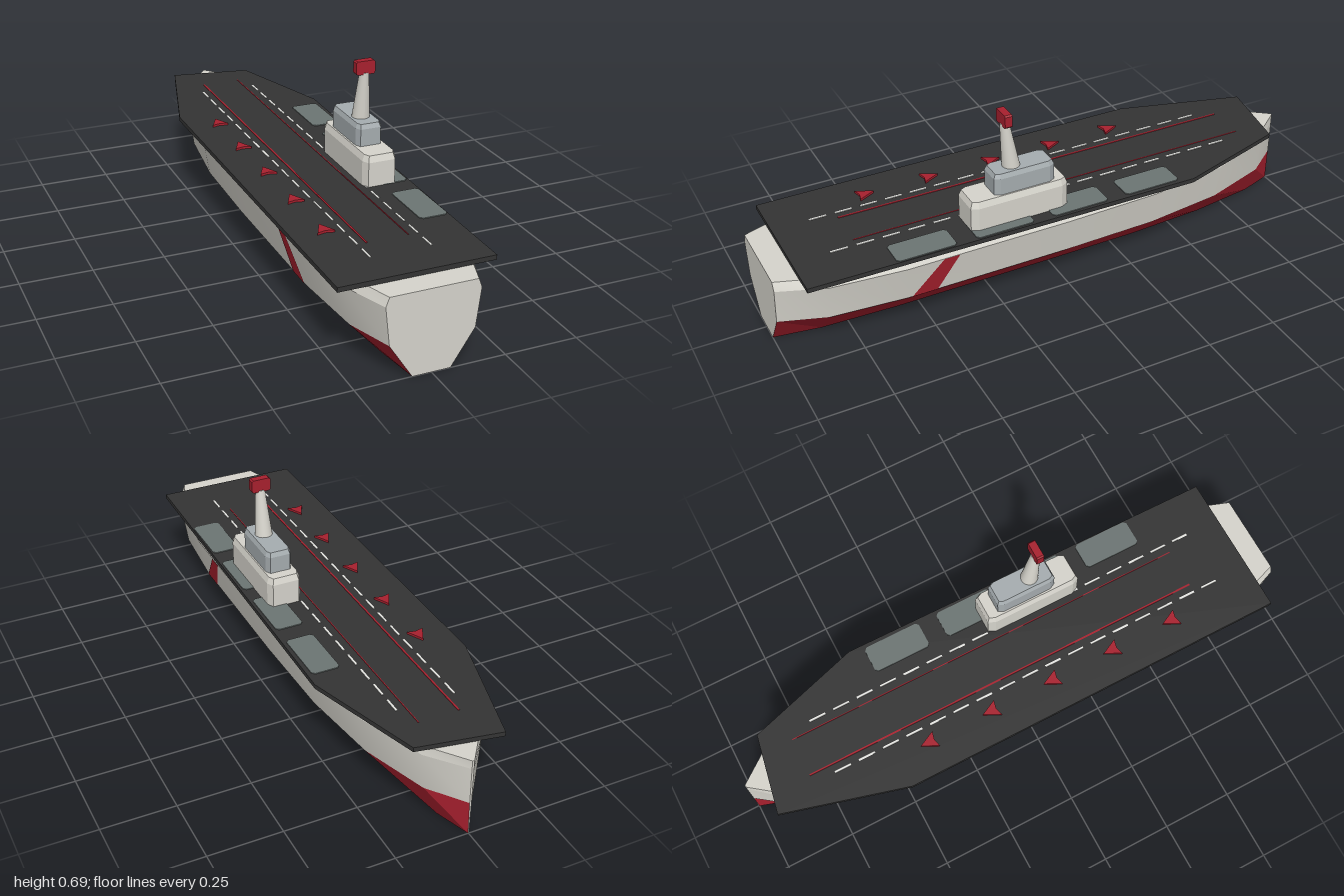
import * as THREE from 'three';

const material = (name, color, side = THREE.FrontSide) => {
  const m = new THREE.MeshStandardMaterial({ color, side });
  m.name = name;
  return m;
};

export function createModel() {
  const ship = new THREE.Group();
  ship.name = 'carrierShip';
  const hullGrey = material('hullGrey', 0xd6d4cc);
  const red = material('red', 0xa8202e);
  const deckDark = material('deckDark', 0x343434);
  const bridgeGrey = material('bridgeGrey', 0xa6adb0);
  const liftGrey = material('liftGrey', 0x6c7573);
  const white = material('white', 0xeeeeea);

  const add = (name, geometry, mat, parent = ship) => {
    const mesh = new THREE.Mesh(geometry, mat);
    mesh.name = name;
    parent.add(mesh);
    return mesh;
  };
  const group = (name) => {
    const g = new THREE.Group();
    g.name = name;
    ship.add(g);
    return g;
  };

  // Extrudes an [x, z] outline upwards from y0 to y1, optionally bevelled
  const slab = (outline, y0, y1, bevelSize = 0, bevelHeight = 0) => {
    const shape = new THREE.Shape(outline.map(([x, z]) => new THREE.Vector2(x, -z)));
    const g = new THREE.ExtrudeGeometry(shape, {
      depth: y1 - y0 - 2 * bevelHeight, bevelEnabled: bevelSize > 0, bevelSegments: 1,
      bevelSize, bevelOffset: -bevelSize, bevelThickness: bevelHeight,
    });
    return g.rotateX(-Math.PI / 2).translate(0, y0 + bevelHeight, 0);
  };
  // Rectangle with cut corners
  const cutRect = (x0, x1, z0, z1, c, d = c) => [
    [x0 + c, z0], [x1 - c, z0], [x1, z0 + d], [x1, z1 - d],
    [x1 - c, z1], [x0 + c, z1], [x0, z1 - d], [x0, z0 + d],
  ];

  // Hull stations [z, width factor] and half-section [half width, y]
  const stations = [[1, 0.648], [0.84, 0.9], [0.58, 1], [0, 1], [-0.35, 0.96],
    [-0.64, 0.79], [-0.88, 0.43], [-1, 0.015]];
  const section = [[0.097, 0], [0.217, 0.12], [0.24, 0.25], [0.222, 0.28]];

  // Strip running along the hull between two section points
  const strip = (a, b, flat) => {
    const positions = [], index = [];
    stations.forEach(([z, s], i) => {
      positions.push(a[0] * s, a[1], z, b[0] * s, b[1], z);
      if (i) {
        const k = 2 * i;
        index.push(k - 2, k, k - 1, k - 1, k, k + 1);
      }
    });
    let g = new THREE.BufferGeometry();
    g.setAttribute('position', new THREE.Float32BufferAttribute(positions, 3));
    g.setIndex(index);
    if (flat) g = g.toNonIndexed();
    g.computeVertexNormals();
    return g;
  };
  const mirror = ([x, y]) => [-x, y];
  const hull = group('hull');
  const [keel, chine, shoulder, rim] = section;
  add('hullBottom', strip(mirror(keel), keel, true), hullGrey, hull);
  add('hullTop', strip(rim, mirror(rim), true), hullGrey, hull);
  for (const side of [1, -1]) {
    const run = (a, b, flat) => side > 0 ? strip(a, b, flat) : strip(mirror(b), mirror(a), flat);
    add('lowerHull', run(keel, chine, true), red, hull);
    add('upperHull', run(chine, shoulder, false), hullGrey, hull);
    add('hullRim', run(shoulder, rim, false), hullGrey, hull);
  }
  // Flat transom at the stern and the narrow stem at the bow
  for (const [name, [z, s]] of [['transom', stations[0]], ['stem', stations[7]]]) {
    const pts = [...section, ...section.map(mirror).reverse()].map(([x, y]) => new THREE.Vector2(x * s, y));
    const g = new THREE.ShapeGeometry(new THREE.Shape(pts));
    if (z < 0) g.rotateY(Math.PI);
    add(name, g.translate(0, 0, z), hullGrey, hull);
  }

  // Slanted red band painted on each side
  const redBand = material('bandRed', 0xa8202e, THREE.DoubleSide);
  for (const side of [1, -1]) {
    const corners = [[0.219, 0.12, 0.565], [0.219, 0.12, 0.475], [0.242, 0.25, 0.4], [0.242, 0.25, 0.455]];
    const order = side > 0 ? [0, 1, 2, 0, 2, 3] : [0, 2, 1, 0, 3, 2];
    const g = new THREE.BufferGeometry();
    g.setAttribute('position', new THREE.Float32BufferAttribute(
      order.flatMap((i) => [corners[i][0] * side, corners[i][1], corners[i][2]]), 3));
    g.computeVertexNormals();
    add('sideBand', g, redBand, hull);
  }

  // Flight deck
  const deckY = 0.297;
  add('flightDeck', slab([[-0.27, 0.92], [0.25, 0.92], [0.266, -0.48], [0.14, -0.89],
    [-0.145, -0.943], [-0.27, -0.5]], 0.281, deckY), deckDark);

  // Deck markings
  const markings = group('deckMarkings');
  const line = (name, x, z0, z1, w, mat) => add(name,
    new THREE.BoxGeometry(w, 0.002, z1 - z0).translate(x, deckY + 0.001, (z0 + z1) / 2), mat, markings);
  line('redLine', -0.073, -0.79, 0.7, 0.006, red);
  line('redLine', 0.068, -0.79, 0.7, 0.003, red);
  for (const x of [-0.104, 0.1]) {
    for (let i = 0; i < 17; i++) line('whiteDash', x, -0.71 + i * 0.09, -0.65 + i * 0.09, 0.007, white);
  }

  // Aircraft lifts along the right edge of the plan
  for (const z of [-0.43, -0.15, 0.13, 0.41]) {
    add('lift', slab(cutRect(0.152, 0.25, z, z + 0.21, 0.01), deckY - 0.002, deckY + 0.003), liftGrey);
  }

  // Parked arrow-shaped aircraft
  for (let i = 0; i < 5; i++) {
    const z = -0.38 + i * 0.238;
    add('aircraft', slab([[-0.16, z - 0.033], [-0.131, z + 0.025], [-0.16, z + 0.018], [-0.189, z + 0.025]],
      deckY - 0.001, 0.305), red);
  }

  // Island tower
  const island = group('island');
  add('islandBase', slab(cutRect(0.093, 0.213, -0.015, 0.34, 0.012, 0.025), 0.27, 0.405, 0.008, 0.022), hullGrey, island);
  add('bridge', slab(cutRect(0.107, 0.2, 0.03, 0.25, 0.01, 0.02), 0.38, 0.481, 0.007, 0.016), bridgeGrey, island);

  // Mast leaning aft towards its top
  const mast = new THREE.CylinderGeometry(0.016, 0.031, 0.17, 24);
  const p = mast.attributes.position;
  for (let i = 0; i < p.count; i++) p.setZ(i, p.getZ(i) + (p.getY(i) / 0.17) * 0.022);
  mast.computeVertexNormals();
  add('mast', mast.translate(0.153, 0.56, 0.181), hullGrey, island);

  // Radar head with cut corners
  const headShape = new THREE.Shape(cutRect(-0.034, 0.034, -0.0235, 0.0235, 0.005)
    .map(([x, y]) => new THREE.Vector2(x, y)));
  const head = new THREE.ExtrudeGeometry(headShape, { depth: 0.026, bevelEnabled: false });
  add('radarHead', head.translate(0.153, 0.663, 0.179), red, island);

  return ship;
}
